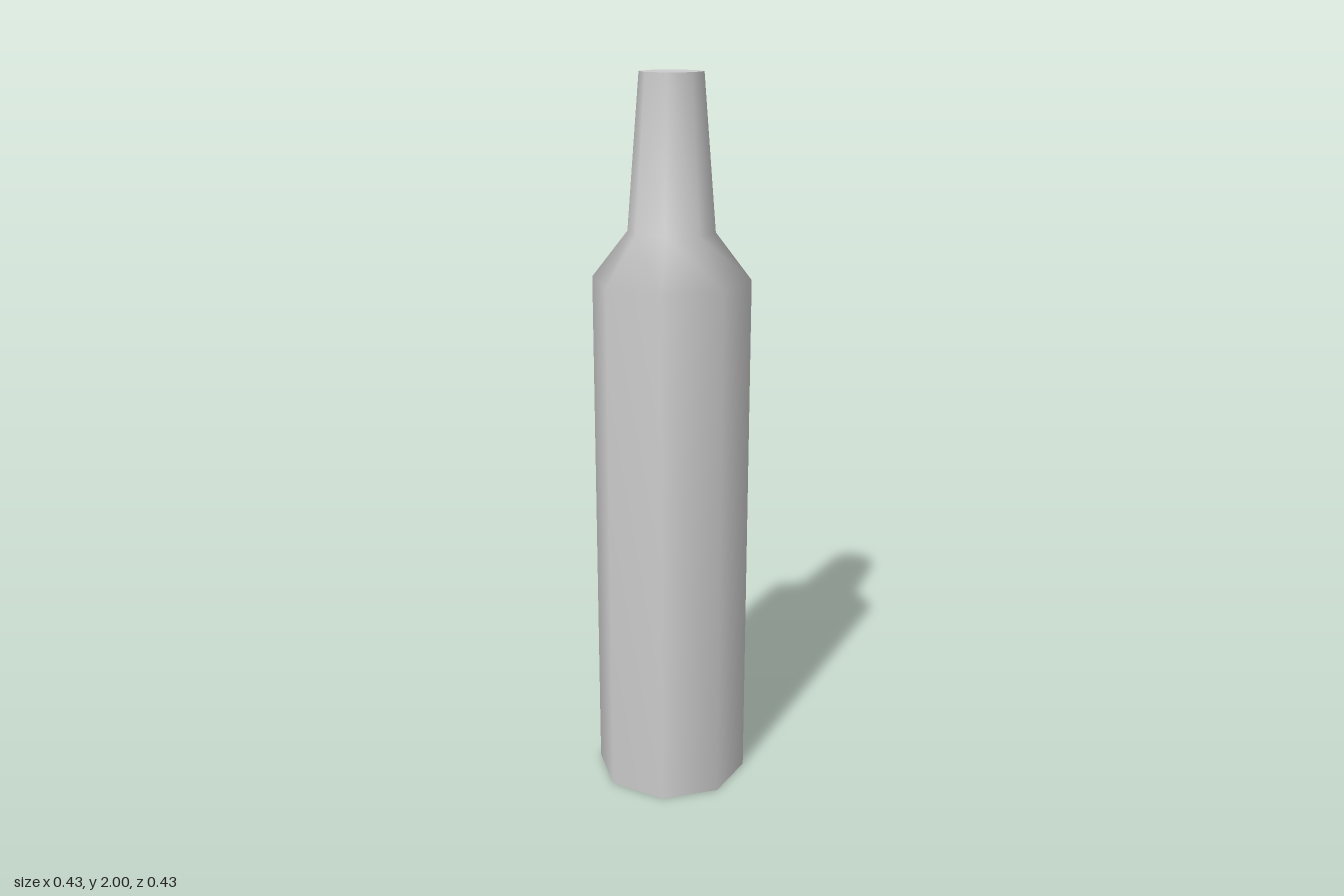
import * as THREE from 'three';

const SIDES = 8;

export function createModel() {
  const group = new THREE.Group();
  group.name = 'bottle';
  const material = new THREE.MeshStandardMaterial({ color: 0xcccccc });

  const add = (name, geometry, y = 0) => {
    const mesh = new THREE.Mesh(geometry, material);
    mesh.name = name;
    mesh.position.y = y;
    group.add(mesh);
  };

  // Body, shoulder and tapered neck as one smooth eight-sided wall
  const profile = [
    [0.215, 0],
    [0.215, 1.465],
    [0.118, 1.59],
    [0.085, 2],
  ].map(([r, y]) => new THREE.Vector2(r, y));
  add('bottleWall', new THREE.LatheGeometry(profile, SIDES));

  // Flat ends with sharp rims
  add('base', new THREE.CircleGeometry(0.215, SIDES).rotateX(Math.PI / 2));
  add('mouthCap', new THREE.CircleGeometry(0.085, SIDES).rotateX(-Math.PI / 2), 2);

  return group;
}
